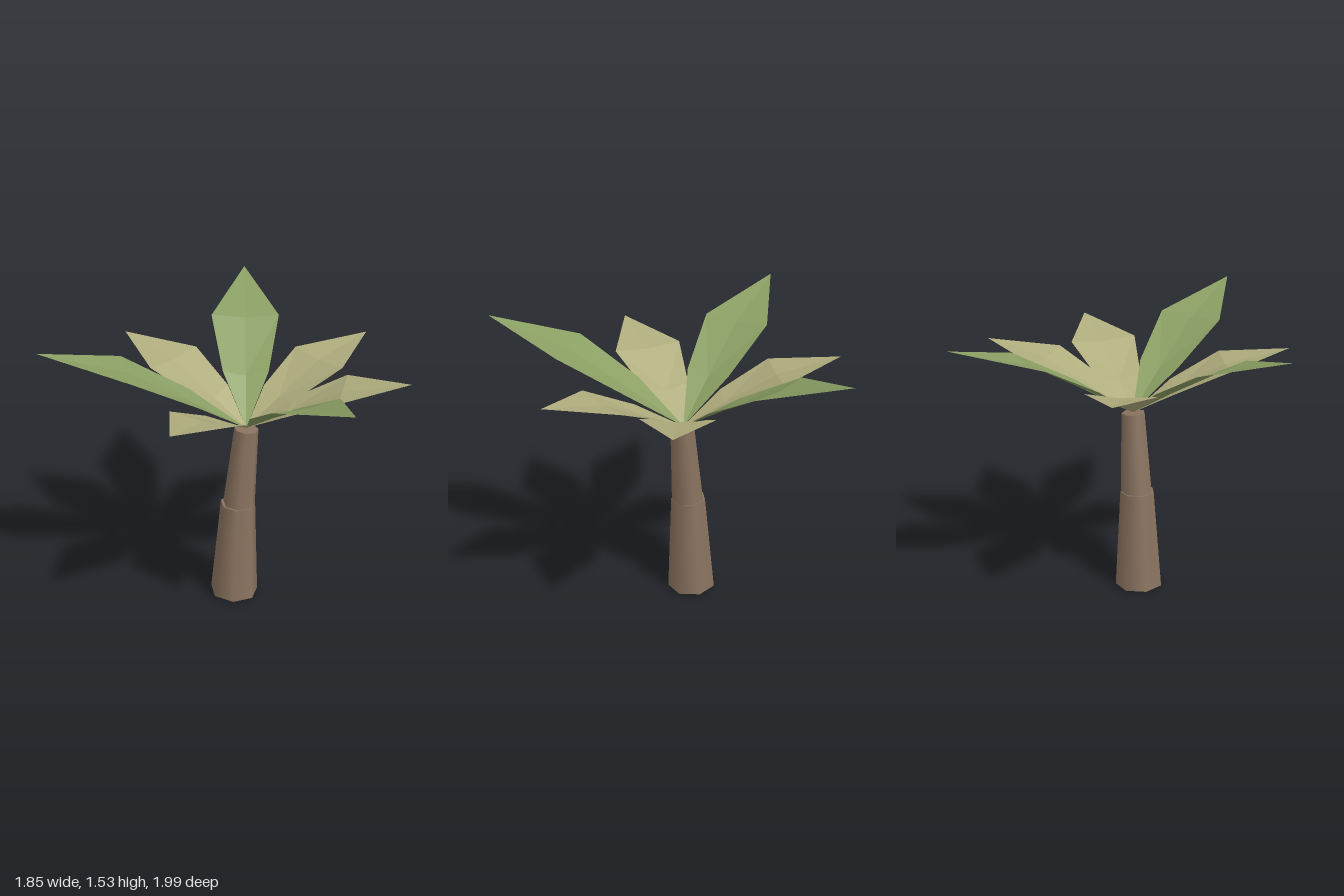
import * as THREE from 'three';

const bark = new THREE.MeshStandardMaterial({ name: 'bark brown', color: 0x8a7460 });
const green = new THREE.MeshStandardMaterial({ name: 'leaf green', color: 0x8a9f63, side: THREE.DoubleSide });
const olive = new THREE.MeshStandardMaterial({ name: 'leaf olive', color: 0xafac7d, side: THREE.DoubleSide });

// Tapered seven-sided trunk piece whose axis runs from a to b
function trunkPiece(name, a, b, rBottom, rTop) {
  const axis = b.clone().sub(a);
  const mesh = new THREE.Mesh(new THREE.CylinderGeometry(rTop, rBottom, axis.length(), 7), bark);
  mesh.position.copy(a).add(b).multiplyScalar(0.5);
  mesh.quaternion.setFromUnitVectors(new THREE.Vector3(0, 1, 0), axis.normalize());
  mesh.name = name;
  return mesh;
}

// Folded leaf along +z from its stem; rows are [distance, half width, edge height, midrib height]
function leafGeometry(rows, tip) {
  const stem = [0, 0, 0];
  const pos = [];
  const tri = (...corners) => corners.forEach((c) => pos.push(...c));
  for (const s of [-1, 1]) {
    const edge = [stem, ...rows.map(([d, w, y]) => [s * w, y, d]), tip];
    const rib = [stem, ...rows.map(([d, , , y]) => [0, y, d]), tip];
    for (let i = 0; i < edge.length - 1; i++) {
      const quad = [
        [rib[i], rib[i + 1], edge[i + 1]],
        [rib[i], edge[i + 1], edge[i]],
      ];
      quad.forEach(([a, b, c], k) => {
        if (k === 1 && i === 0) return; // both strips meet at the stem
        if (k === 0 && i === edge.length - 2) return; // and at the tip
        if (s > 0) tri(a, b, c);
        else tri(a, c, b);
      });
    }
    // closing triangle at the tip
    const n = edge.length - 2;
    if (s > 0) tri(rib[n], tip, edge[n]);
    else tri(rib[n], edge[n], tip);
  }
  // keep only triangles that have area
  const clean = [];
  for (let i = 0; i < pos.length; i += 9) {
    const [a, b, c] = [0, 3, 6].map((k) => new THREE.Vector3().fromArray(pos, i + k));
    if (new THREE.Triangle(a, b, c).getArea() > 1e-6) clean.push(...pos.slice(i, i + 9));
  }
  const geo = new THREE.BufferGeometry();
  geo.setAttribute('position', new THREE.Float32BufferAttribute(clean, 3));
  geo.computeVertexNormals();
  return geo;
}

export function createModel() {
  const model = new THREE.Group();
  model.name = 'palmTree';

  // Trunk, leaning slightly
  const v = (x, y, z) => new THREE.Vector3(x, y, z);
  model.add(trunkPiece('lowerTrunk', v(0.03, 0.01, 0.067), v(0.05, 0.565, 0.067), 0.132, 0.095));
  model.add(trunkPiece('upperTrunk', v(0.055, 0.55, 0.066), v(0.093, 1.01, 0.065), 0.088, 0.065));

  // Crown of long and short leaves
  const longLeaf = leafGeometry([[0.28, 0.123, 0.2, 0.175], [0.62, 0.186, 0.39, 0.375]], [0, 0.52, 1.06]);
  const shortLeaf = leafGeometry([[0.22, 0.123, 0.14, 0.115], [0.495, 0.187, 0.27, 0.255]], [0, 0.33, 0.843]);
  const crown = new THREE.Group();
  crown.name = 'crown';
  crown.position.set(0.092, 1.012, 0.06);
  const addLeaves = (name, geo, mat, directions) => directions.forEach(([x, z], i) => {
    const leaf = new THREE.Mesh(geo, mat);
    leaf.rotation.y = Math.atan2(x, z);
    leaf.name = name + (i + 1);
    crown.add(leaf);
  });
  addLeaves('longLeaf', longLeaf, green, [[-0.045, -1.06], [-1.02, 0.28], [0.505, 0.93]]);
  addLeaves('shortLeaf', shortLeaf, olive, [[0.64, -0.55], [0.83, 0.15], [-0.33, 0.77], [-0.68, -0.5]]);
  model.add(crown);
  return model;
}
